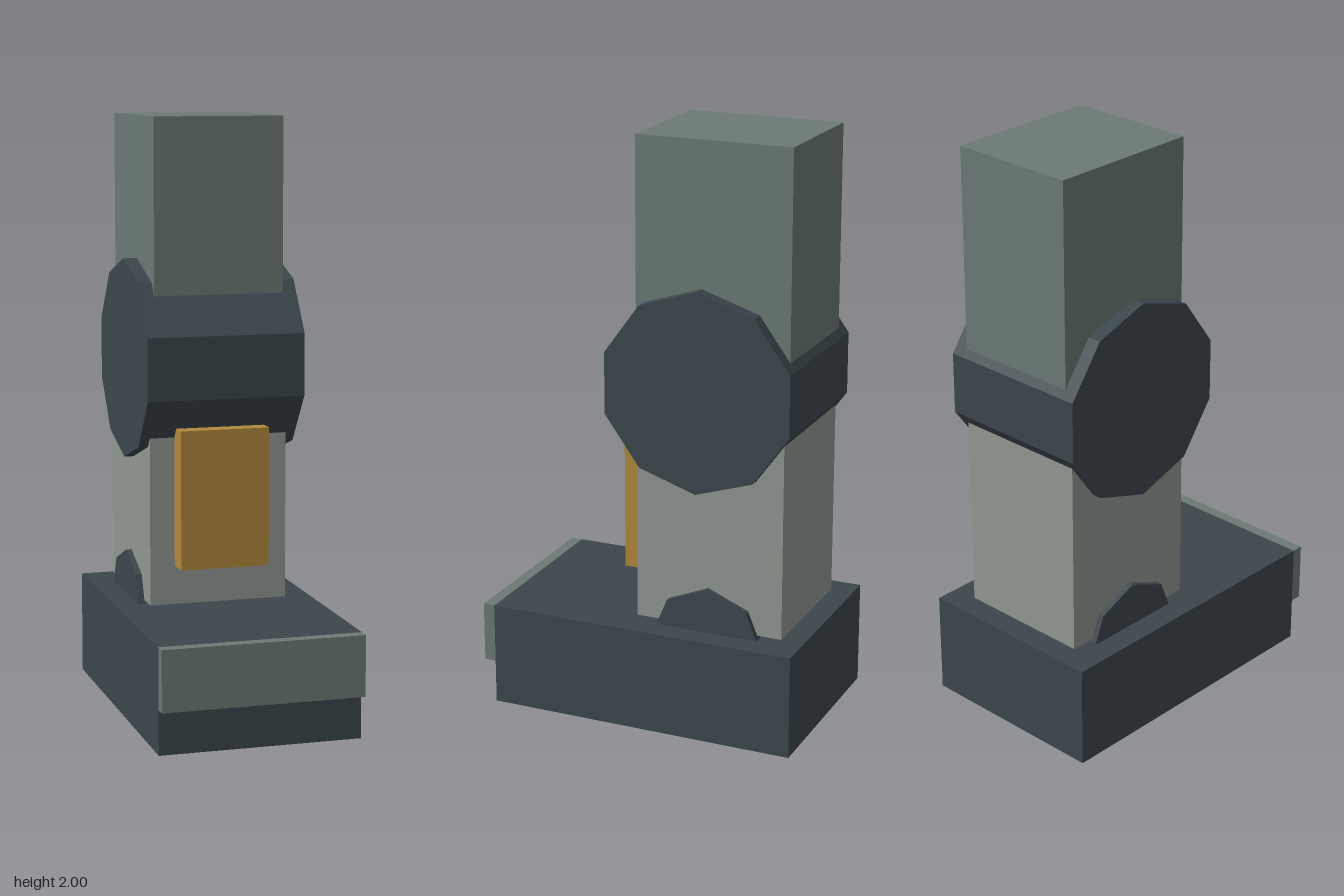
import * as THREE from 'three';

const paint = (name, color) => {
  const m = new THREE.MeshStandardMaterial({ color });
  m.name = name;
  return m;
};

export function createModel() {
  const leg = new THREE.Group();
  leg.name = 'mechanicalLeg';
  const dark = paint('darkSlate', 0x3b464b);
  const mid = paint('greyGreen', 0x6b7975);
  const light = paint('paleGrey', 0x8f9790);
  const ochre = paint('ochre', 0xb1873b);

  const add = (name, geometry, material) => {
    const mesh = new THREE.Mesh(geometry, material);
    mesh.name = name;
    leg.add(mesh);
  };

  // Block centred on x, given by its y and z ranges
  const block = (name, material, width, y0, y1, z0, z1) => {
    const g = new THREE.BoxGeometry(width, y1 - y0, z1 - z0);
    g.translate(0, (y0 + y1) / 2, (z0 + z1) / 2);
    add(name, g, material);
  };

  // Faceted joint lying along x, with one corner pointing straight up
  const joint = (name, material, radius, width, sides, y, z) => {
    const shape = new THREE.Shape();
    for (let i = 0; i < sides; i++) {
      const a = (i / sides) * Math.PI * 2 + Math.PI / 2;
      shape[i ? 'lineTo' : 'moveTo'](radius * Math.cos(a), radius * Math.sin(a));
    }
    const g = new THREE.ExtrudeGeometry(shape, { depth: width, bevelEnabled: false });
    g.translate(0, 0, -width / 2).rotateY(Math.PI / 2).translate(0, y, z);
    add(name, g, material);
  };

  // Foot and toe cap
  block('foot', dark, 0.68, 0, 0.355, -0.56, 0.52);
  block('toeCap', mid, 0.68, 0.15, 0.355, 0.52, 0.56);

  // Ankle, shin and shin guard
  joint('ankle', dark, 0.2, 0.515, 8, 0.307, -0.23);
  block('shin', light, 0.475, 0.367, 1.1, -0.49, 0.028);
  block('shinGuard', ochre, 0.305, 0.5, 0.97, 0.02, 0.112);

  // Knee and thigh
  joint('knee', dark, 0.34, 0.54, 10, 1.18, -0.195);
  block('thigh', mid, 0.445, 1.2, 2, -0.5, 0.036);

  return leg;
}
